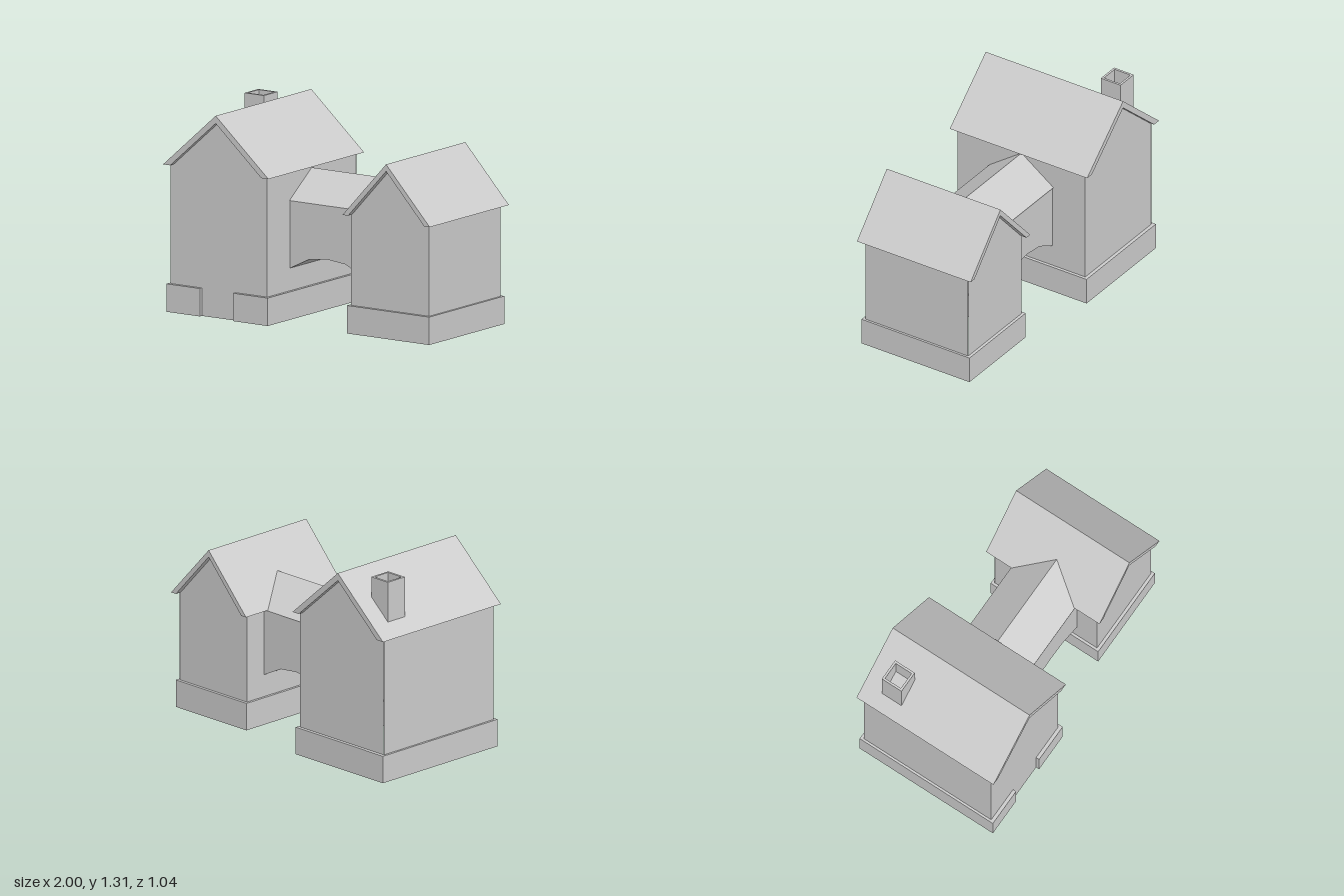
import * as THREE from 'three';
import { toCreasedNormals } from 'three/addons/utils/BufferGeometryUtils.js';

const stone = new THREE.MeshStandardMaterial({ color: 0xcccccc, side: THREE.DoubleSide });
stone.name = 'pale stone';

const shapeOf = (pts) => new THREE.Shape(pts.map(([x, y]) => new THREE.Vector2(x, y)));
const rect = (x0, x1, z0, z1) => [[x0, z0], [x1, z0], [x1, z1], [x0, z1]];
const extrude = (shape, depth) => new THREE.ExtrudeGeometry(shape, { depth, bevelEnabled: false });

function add(parent, name, geometry) {
  const mesh = new THREE.Mesh(geometry, stone);
  mesh.name = name;
  parent.add(mesh);
  return mesh;
}

// Upright ring: plan outline (x, z) with a hole, between heights y0 and y1
function ring(outer, inner, y0, y1) {
  const shape = shapeOf(outer);
  shape.holes.push(shapeOf(inner));
  return extrude(shape, y1 - y0).rotateX(Math.PI / 2).translate(0, y1, 0);
}

// Gabled house, hollow and open underneath
function house(name, h) {
  const group = new THREE.Group();
  group.name = name;
  const { x0, x1, z, eave, ridge, plinth } = h;
  const mid = h.roof.mid, top = 0.18;

  // Gable ends and side walls
  const gable = shapeOf([[x0, top], [x1, top], [x1, eave], [mid, ridge - 0.03], [x0, eave]]);
  for (const s of [1, -1]) {
    const end = new THREE.ShapeGeometry(gable);
    if (s < 0) end.translate(-mid, 0, 0).rotateY(Math.PI).translate(2 * mid - mid, 0, 0);
    add(group, s > 0 ? 'frontWall' : 'backWall', end.translate(0, 0, s * z));
    const side = new THREE.PlaneGeometry(2 * z, eave - top).rotateY(s * Math.PI / 2);
    add(group, s > 0 ? 'leftWall' : 'rightWall', side.translate(s > 0 ? x1 : x0, (eave + top) / 2, 0));
  }

  // Plinth outline, set in by t, stepping back to the wall at the doorway
  const outline = (t) => {
    const [a, b, d] = [plinth.x0 + t, plinth.x1 - t, plinth.z - t];
    const pts = [[a, -d], [b, -d], [b, d]];
    if (h.door) {
      const [l, r] = [h.door[0] - t, h.door[1] + t];
      pts.push([r, d], [r, z - t], [l, z - t], [l, d]);
    }
    pts.push([a, d]);
    return pts;
  };
  add(group, 'plinth', ring(outline(0), outline(0.006), 0, 0.175));
  add(group, 'plinthLedge', ring(outline(0), rect(x0 + 0.004, x1 - 0.004, -z + 0.006, z - 0.006), 0.175, top));

  // Folded roof slab
  const r = h.roof;
  const slab = shapeOf([[r.x0, eave], [r.x0 + r.lip, eave], [mid, ridge - r.thick],
    [r.x1 - r.lip, eave], [r.x1, eave], [mid, ridge]]);
  add(group, 'roof', extrude(slab, 2 * r.z).translate(0, 0, -r.z));
  return group;
}

export function createModel() {
  const model = new THREE.Group();
  model.name = 'gatehouse';

  const tall = house('tallHouse', {
    x0: -0.97, x1: -0.22, z: 0.485, eave: 0.95, ridge: 1.31,
    plinth: { x0: -0.985, x1: -0.2, z: 0.508 }, door: [-0.725, -0.465],
    roof: { x0: -1, x1: -0.185, mid: -0.593, z: 0.522, lip: 0.055, thick: 0.049 },
  });
  model.add(tall);
  model.add(house('smallHouse', {
    x0: 0.36, x1: 0.965, z: 0.39, eave: 0.765, ridge: 1.13,
    plinth: { x0: 0.343, x1: 0.98, z: 0.41 },
    roof: { x0: 0.325, x1: 1, mid: 0.662, z: 0.432, lip: 0.043, thick: 0.045 },
  }));

  // Hollow chimney
  add(tall, 'chimney', ring(rect(-0.91, -0.76, -0.39, -0.24), rect(-0.895, -0.775, -0.375, -0.255), 1.0, 1.295));

  // Bridge between the houses, with an arched underside
  const bridge = new THREE.Group();
  bridge.name = 'bridge';
  model.add(bridge);
  const wall = shapeOf([[-0.222, 0.325], [-0.07, 0.4], [0.07, 0.415], [0.21, 0.4], [0.362, 0.325],
    [0.362, 0.765], [-0.222, 0.765]]);
  add(bridge, 'archedWall', toCreasedNormals(extrude(wall, 0.474).translate(0, 0, -0.237), 0.6));

  // Bridge roof runs into the small house's roof
  const prism = shapeOf([[-0.243, 0.762], [0.243, 0.762], [0, 0.935]]);
  add(bridge, 'bridgeRoof', extrude(prism, 0.71).rotateY(Math.PI / 2).translate(-0.222, 0, 0));
  return model;
}
